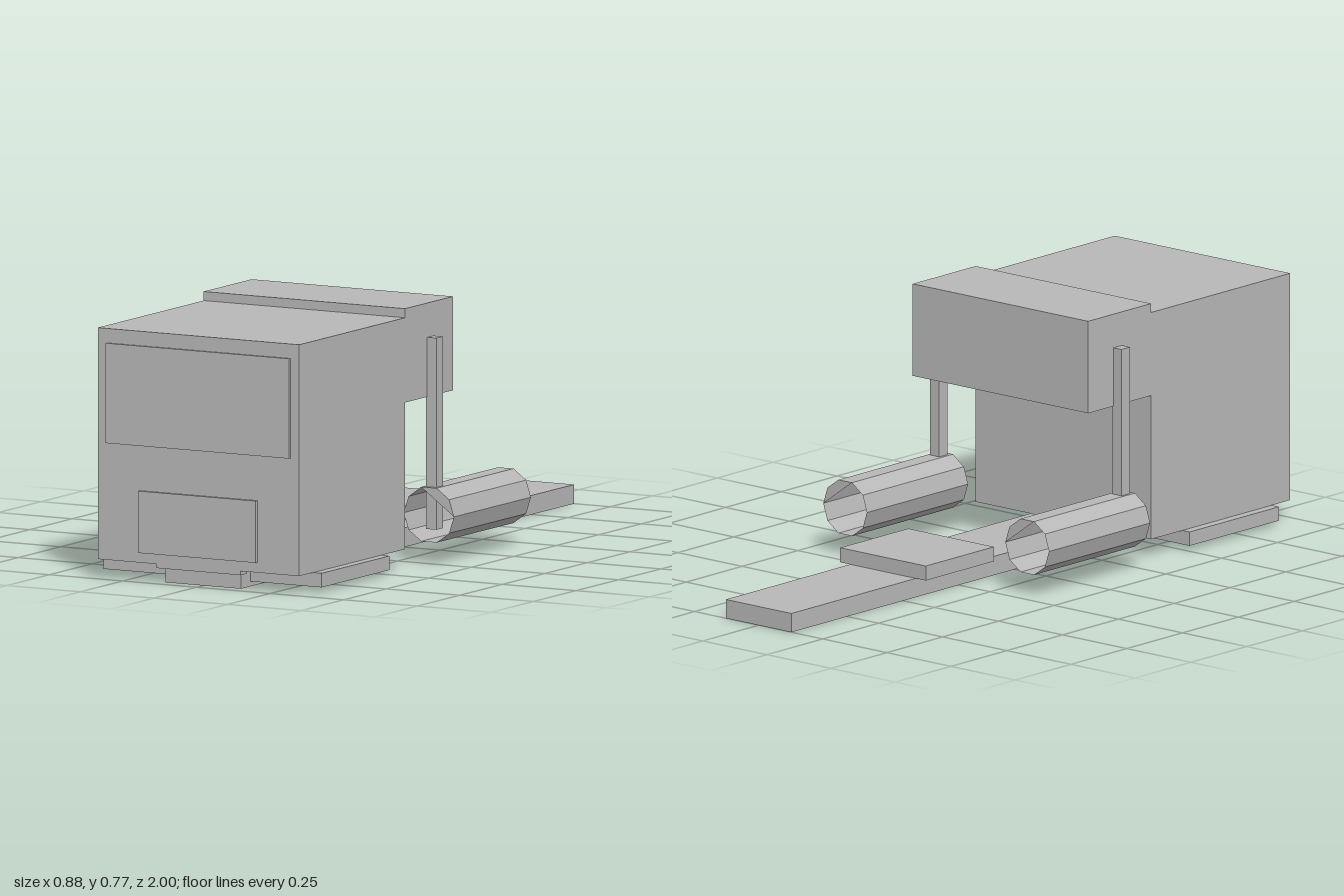
import * as THREE from 'three';

export function createModel() {
  const model = new THREE.Group();
  model.name = 'truck';
  const grey = new THREE.MeshStandardMaterial({ color: 0xb8b8b8, flatShading: true, side: THREE.DoubleSide });
  grey.name = 'plain grey';

  // Box given by its extents on each axis
  function box(name, [x0, x1], [y0, y1], [z0, z1]) {
    const mesh = new THREE.Mesh(new THREE.BoxGeometry(x1 - x0, y1 - y0, z1 - z0), grey);
    mesh.position.set((x0 + x1) / 2, (y0 + y1) / 2, (z0 + z1) / 2);
    mesh.name = name;
    model.add(mesh);
  }

  // Cab with its raised sleeper overhang
  box('cab', [-0.342, 0.342], [0.057, 0.745], [0.365, 0.988]);
  box('rearOverhang', [-0.342, 0.342], [0.493, 0.772], [0.083, 0.365]);
  box('windshield', [-0.312, 0.312], [0.405, 0.702], [0.988, 0.995]);
  box('grille', [-0.2, 0.2], [0.087, 0.271], [0.988, 0.9975]);
  box('frontLip', [-0.143, 0.143], [0.045, 0.07], [0.95, 0.988]);

  // Chassis
  box('chassisRail', [-0.128, 0.128], [0, 0.057], [-1, 0.96]);
  box('stepPlate', [-0.37, 0.37], [0.015, 0.057], [0.505, 0.905]);
  box('couplingPlate', [-0.167, 0.167], [0.057, 0.101], [-0.443, -0.138]);

  // Ten-sided tanks, open except for a partial cover at the top of each end
  const radius = 0.085, front = 0.248, back = -0.205;
  const corners = [0, 1, 2, 3].map((i) => {
    const a = (i * Math.PI) / 5;
    return new THREE.Vector2(radius * Math.cos(a), radius * Math.sin(a));
  });
  for (const side of [-1, 1]) {
    const tank = new THREE.Group();
    tank.name = side > 0 ? 'leftTank' : 'rightTank';
    tank.position.set(side * 0.355, 0.145, 0);
    const shellGeometry = new THREE.CylinderGeometry(radius, radius, front - back, 10, 1, true);
    shellGeometry.rotateY(Math.PI / 2).rotateX(Math.PI / 2);
    const shell = new THREE.Mesh(shellGeometry, grey);
    shell.name = 'tankShell';
    shell.position.z = (front + back) / 2;
    tank.add(shell);
    for (const z of [front, back]) {
      const cover = new THREE.Mesh(new THREE.ShapeGeometry(new THREE.Shape(corners)), grey);
      cover.name = 'tankEndCover';
      cover.position.z = z;
      tank.add(cover);
    }
    model.add(tank);

    // Upright exhaust stack standing in the tank
    const xs = [side * 0.338, side * 0.373].sort((a, b) => a - b);
    box(side > 0 ? 'leftStack' : 'rightStack', xs, [0.1, 0.67], [0.197, 0.235]);
  }
  return model;
}
